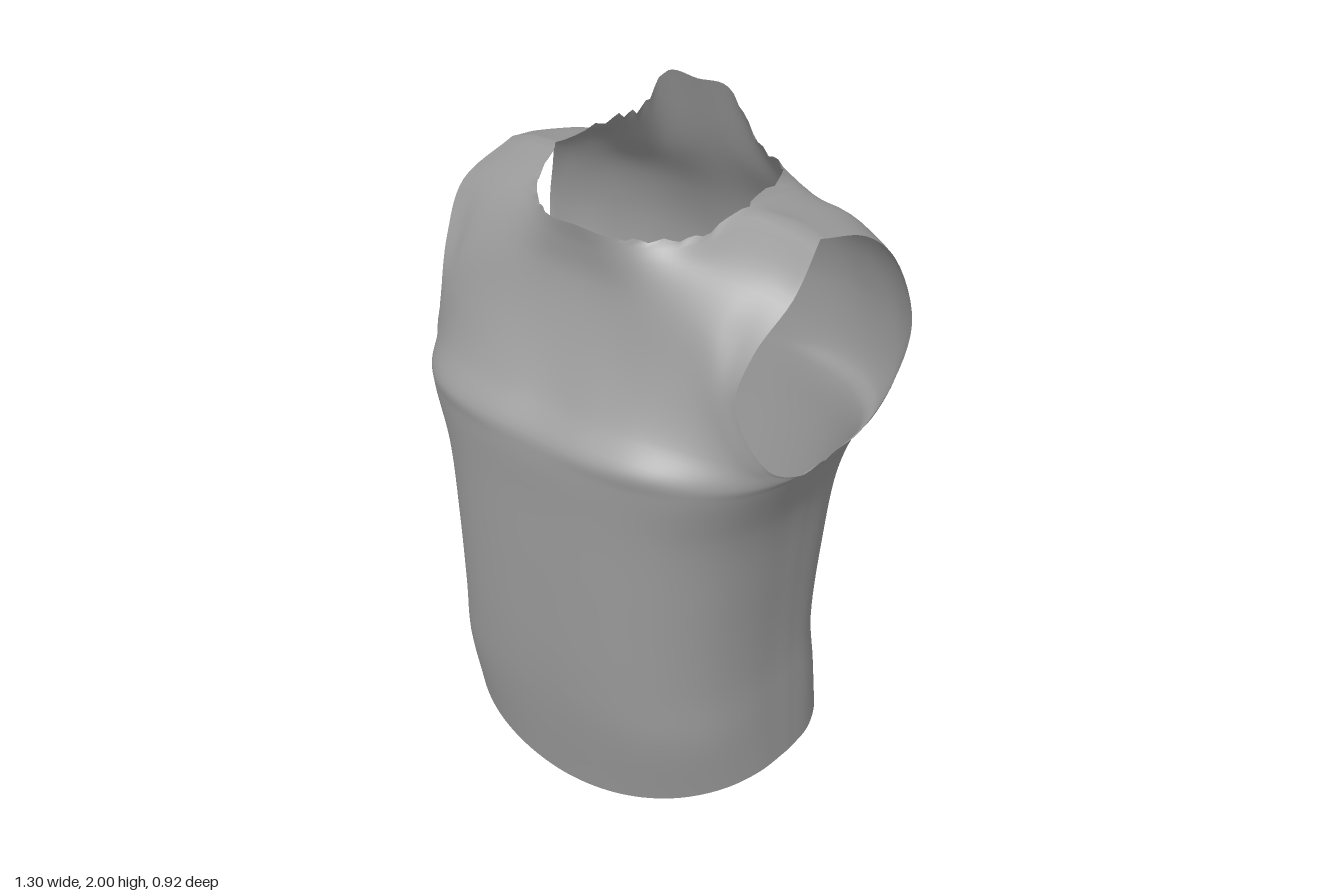
import * as THREE from 'three';
import { mergeVertices } from 'three/addons/utils/BufferGeometryUtils.js';

const COLS = 72, STEPS = 6; // columns across a panel, steps between sections

// Torso sections: height, half width, front depth, back depth, spine groove
const torso = [
  [0, 0.55, 0.40, 0.40, 0.02],
  [0.3, 0.535, 0.437, 0.355, 0.02],
  [0.48, 0.522, 0.45, 0.335, 0.02],
  [0.75, 0.527, 0.456, 0.375, 0.025],
  [1.0, 0.55, 0.458, 0.415, 0.025],
  [1.165, 0.605, 0.46, 0.44, 0.028],
];
const spread = [0, 0.3, 0.55, 0.75, 0.9, 0.98, 1];
const SEAM_Z = -0.02;

// Chest sections, centre to armhole; the last follows neckline and shoulder seam
const chest = [
  [0, 1.22, .45, .19, 1.22, .45, .34, 1.22, .425, .46, 1.21, .365, .55, 1.2, .28, .595, 1.19, .18, .61, 1.18, .1],
  [0, 1.3, .38, .17, 1.3, .385, .31, 1.3, .37, .43, 1.29, .335, .52, 1.27, .285, .56, 1.255, .25, .585, 1.24, .21],
  [0, 1.45, .3, .15, 1.45, .3, .28, 1.45, .3, .38, 1.45, .29, .45, 1.44, .28, .49, 1.43, .27, .515, 1.42, .262],
  [0, 1.6, .25, .13, 1.6, .25, .25, 1.6, .245, .35, 1.6, .235, .43, 1.58, .23, .48, 1.56, .22, .53, 1.55, .215],
  [0, 1.69, .25, .11, 1.69, .245, .22, 1.69, .21, .32, 1.7, .17, .42, 1.7, .14, .5, 1.69, .12, .565, 1.67, .11],
  [0, 1.75, .26, .1, 1.74, .245, .2, 1.74, .185, .28, 1.75, .1, .33, 1.8, -.02, .44, 1.785, -.04, .525, 1.76, -.05],
];

// Shoulder blade sections, ending in the raised back collar
const shoulders = [
  [0, 1.22, -.42, .19, 1.22, -.44, .34, 1.22, -.44, .47, 1.22, -.4, .56, 1.21, -.33, .6, 1.2, -.26, .61, 1.185, -.17],
  [0, 1.32, -.425, .19, 1.32, -.45, .35, 1.32, -.455, .48, 1.31, -.42, .57, 1.3, -.37, .61, 1.29, -.33, .625, 1.27, -.275],
  [0, 1.46, -.42, .19, 1.46, -.445, .35, 1.46, -.45, .47, 1.46, -.42, .56, 1.46, -.385, .62, 1.46, -.345, .648, 1.46, -.32],
  [0, 1.6, -.385, .17, 1.6, -.4, .32, 1.6, -.41, .43, 1.61, -.385, .52, 1.62, -.35, .57, 1.63, -.32, .6, 1.64, -.29],
  [0, 1.8, -.29, .12, 1.77, -.3, .24, 1.73, -.32, .35, 1.73, -.3, .44, 1.74, -.27, .51, 1.73, -.235, .56, 1.72, -.21],
  [0, 2, -.22, .1, 2, -.22, .2, 1.87, -.225, .29, 1.825, -.215, .33, 1.8, -.02, .44, 1.785, -.04, .525, 1.76, -.05],
];

// Rounded-box section of the torso with a curved hem
function torsoSection([level, w, front, back, groove], isFront) {
  const n = level === 0 ? 2.5 : 2.8;
  return spread.map((f) => {
    const bulge = Math.pow(Math.max(0, 1 - Math.pow(f, n)), 1 / n);
    const hem = isFront ? 0.005 + 0.11 * Math.pow(f, 1.6) : 0.18 - 0.065 * f * f;
    const z = isFront
      ? SEAM_Z + (front - SEAM_Z) * bulge
      : SEAM_Z - (back + SEAM_Z) * bulge + groove * Math.exp(-f * f * 18);
    return new THREE.Vector3(w * f, level === 0 ? hem : level, z);
  });
}

const toPoints = (row) => spread.map((_, i) => new THREE.Vector3().fromArray(row, i * 3));

// Mirror each section, then smooth across and up the panel
function panelGrid(isFront) {
  const halves = [...torso.map((s) => torsoSection(s, isFront)), ...(isFront ? chest : shoulders).map(toPoints)];
  const rows = halves.map((half) => {
    const mirrored = half.slice(1).reverse().map((p) => new THREE.Vector3(-p.x, p.y, p.z));
    return new THREE.CatmullRomCurve3([...mirrored, ...half]).getPoints(COLS);
  });
  const columns = [];
  for (let c = 0; c <= COLS; c++) {
    columns.push(new THREE.CatmullRomCurve3(rows.map((r) => r[c])).getPoints((rows.length - 1) * STEPS));
  }
  return columns;
}

export function createModel() {
  const front = panelGrid(true), back = panelGrid(false);
  const top = front[0].length - 1, armpit = (torso.length - 1) * STEPS;

  // Close the side seams and shoulder seams; fray the neckline slightly
  for (let c = 0; c <= COLS; c++) {
    const u = Math.abs(c / COLS - 0.5) * 2;
    for (let r = 0; r <= top; r++) {
      const sideSeam = u === 1 && r <= armpit;
      const shoulderSeam = r === top && u > 0.66;
      if (sideSeam || shoulderSeam) {
        front[c][r].lerp(back[c][r], 0.5);
        back[c][r].copy(front[c][r]);
      }
    }
    if (u < 0.6 && u > 0.2) {
      back[c][top].y += 0.009 * Math.sin(c * 2.1);
      front[c][top].y += 0.006 * Math.sin(c * 1.7);
    }
  }

  // Join both panels into one open shell
  const positions = [], index = [];
  [front, back].forEach((grid, side) => {
    const base = positions.length / 3;
    grid.forEach((column) => column.forEach((p) => positions.push(p.x, p.y, p.z)));
    for (let c = 0; c < COLS; c++) {
      for (let r = 0; r < top; r++) {
        const a = base + c * (top + 1) + r, b = a + top + 1;
        if (side === 0) index.push(a, b, b + 1, a, b + 1, a + 1);
        else index.push(a, b + 1, b, a, a + 1, b + 1);
      }
    }
  });
  let geometry = new THREE.BufferGeometry();
  geometry.setAttribute('position', new THREE.Float32BufferAttribute(positions, 3));
  geometry.setIndex(index);
  geometry = mergeVertices(geometry, 1e-4);
  geometry.computeVertexNormals();

  const cloth = new THREE.MeshStandardMaterial({ color: 0x999999, side: THREE.DoubleSide });
  cloth.name = 'grey cloth';
  const vest = new THREE.Mesh(geometry, cloth);
  vest.name = 'sleevelessTop';

  const group = new THREE.Group();
  group.name = 'vest';
  group.add(vest);
  return group;
}
